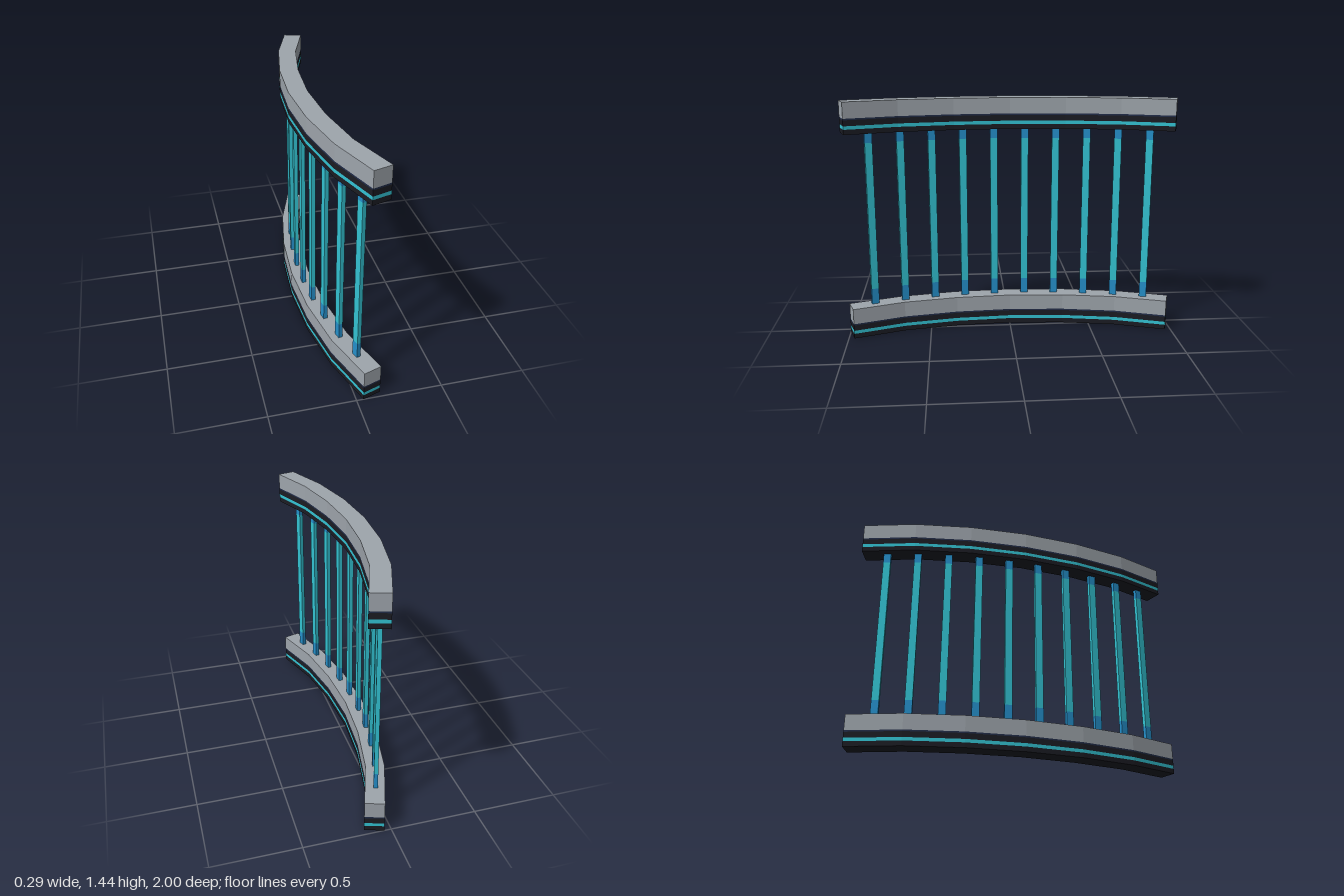
import * as THREE from 'three';

const mat = (name, color) => {
  const m = new THREE.MeshStandardMaterial({ color });
  m.name = name;
  return m;
};

export function createModel() {
  const grey = mat('grey', 0x9ea5ac);
  const black = mat('black', 0x1b1c23);
  const navy = mat('navy', 0x212c48);
  const cyan = mat('cyan', 0x33c3d3);
  const blue = mat('blue', 0x2590cb);
  const model = new THREE.Group();
  model.name = 'curvedRailing';

  // Plan of the curved rail, half of each edge from the middle to the end (x, z)
  const convex = [[-0.147, 0], [-0.126, 0.35], [-0.064, 0.69], [0.04, 1]];
  const concave = [[-0.036, 0], [-0.015, 0.335], [0.042, 0.66], [0.146, 0.965]];
  const fullEdge = (half) => [
    ...half.slice(1).reverse().map(([x, z]) => [x, -z]),
    ...half,
  ];
  const outline = [...fullEdge(concave), ...fullEdge(convex).reverse()];
  const plan = new THREE.Shape(outline.map(([x, z]) => new THREE.Vector2(x, -z)));

  // One horizontal layer of a rail
  function layer(name, y0, y1, material) {
    const g = new THREE.ExtrudeGeometry(plan, { depth: y1 - y0, bevelEnabled: false });
    g.rotateX(-Math.PI / 2);
    g.translate(0, y0, 0);
    const mesh = new THREE.Mesh(g, material);
    mesh.name = name;
    return mesh;
  }

  // Two identical rails made of stacked colour bands
  for (const [name, y] of [['bottomRail', 0], ['topRail', 1.252]]) {
    const rail = new THREE.Group();
    rail.name = name;
    rail.position.y = y;
    rail.add(
      layer('railBase', 0, 0.03, black),
      layer('railStripe', 0.03, 0.05, cyan),
      layer('railBand', 0.05, 0.084, black),
      layer('railTrim', 0.084, 0.093, navy),
      layer('railCap', 0.093, 0.188, grey),
    );
    model.add(rail);
  }

  // Balusters follow the arc, each with a blue section at both ends
  const radius = 2.69;
  const sections = [
    ['lowerSleeve', 0.185, 0.285, blue],
    ['shaft', 0.285, 1.19, cyan],
    ['upperSleeve', 1.19, 1.255, blue],
  ];
  for (let i = 0; i < 10; i++) {
    const angle = (i - 4.5) * 0.0706;
    const baluster = new THREE.Group();
    baluster.name = 'baluster';
    baluster.position.set(-0.094 + radius * (1 - Math.cos(angle)), 0, radius * Math.sin(angle));
    baluster.rotation.y = angle;
    for (const [name, y0, y1, material] of sections) {
      const mesh = new THREE.Mesh(new THREE.BoxGeometry(0.024, y1 - y0, 0.045), material);
      mesh.name = name;
      mesh.position.y = (y0 + y1) / 2;
      baluster.add(mesh);
    }
    model.add(baluster);
  }
  return model;
}
